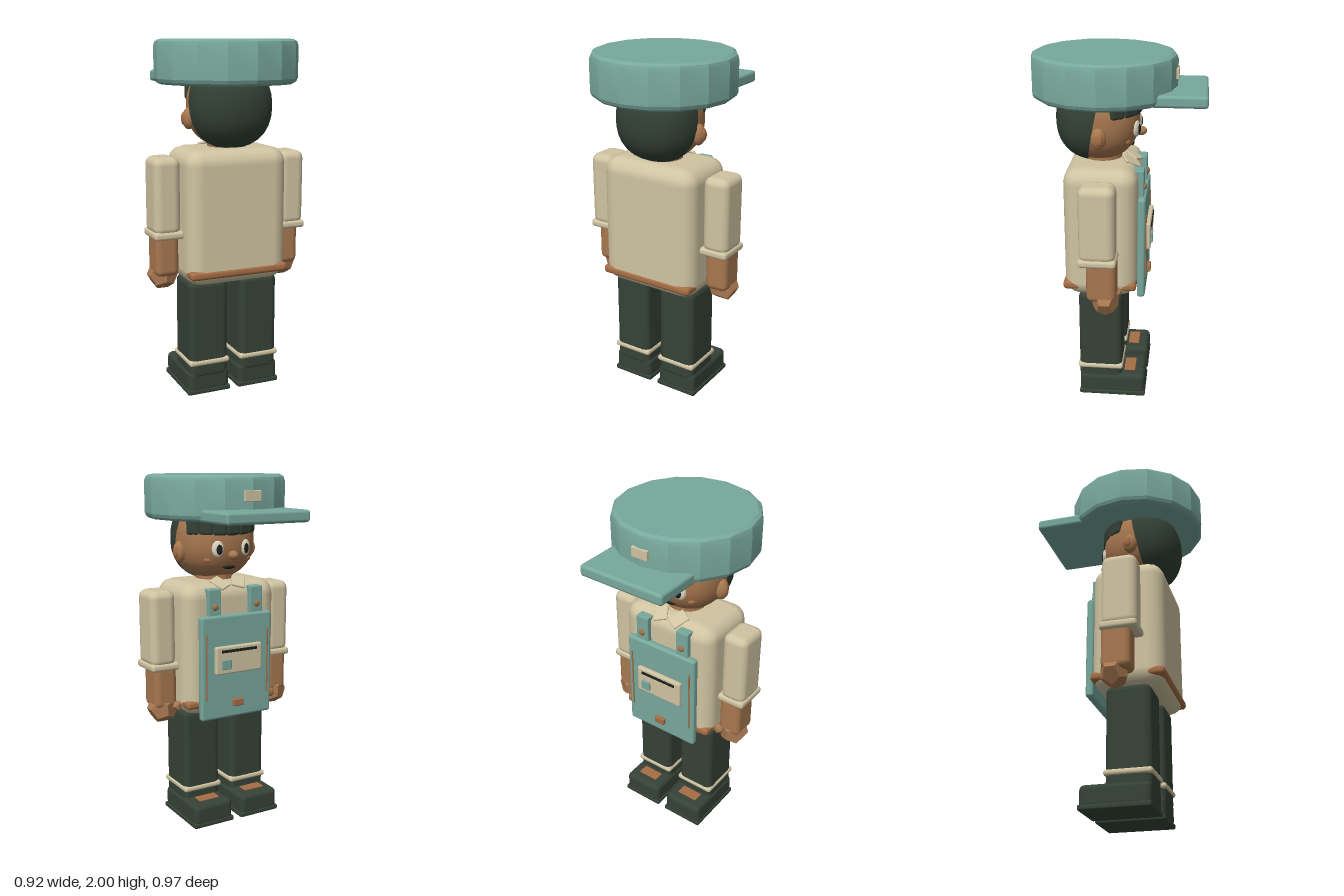
import * as THREE from 'three';
import { toCreasedNormals } from 'three/addons/utils/BufferGeometryUtils.js';
import { RoundedBoxGeometry } from 'three/addons/geometries/RoundedBoxGeometry.js';

const material = (name, color) => {
  const m = new THREE.MeshStandardMaterial({ color });
  m.name = name;
  return m;
};

export function createModel() {
  const teal = material('teal cloth', 0x78a89d);
  const beige = material('beige cloth', 0xd0c4a2);
  const green = material('dark green cloth', 0x364237);
  const hairMat = material('dark hair', 0x334035);
  const skin = material('skin', 0xa87850);
  const brown = material('brown leather', 0xa66e45);
  const black = material('near black', 0x1a201b);
  const white = material('eye white', 0xddd6c0);

  const model = new THREE.Group();
  model.name = 'figure';
  // The figure is built facing +z and then turned around.
  const body = new THREE.Group();
  body.name = 'body';
  body.rotation.y = Math.PI;
  model.add(body);

  const add = (name, geo, mat, x, y, z) => {
    const mesh = new THREE.Mesh(geo, mat);
    mesh.name = name;
    mesh.position.set(x, y, z);
    body.add(mesh);
    return mesh;
  };
  const box = (name, mat, w, h, d, r, x, y, z) =>
    add(name, new RoundedBoxGeometry(w, h, d, 2, r), mat, x, y, z);
  const ball = (name, mat, rx, ry, rz, x, y, z) => {
    const mesh = add(name, new THREE.SphereGeometry(1, 16, 12), mat, x, y, z);
    mesh.scale.set(rx, ry, rz);
    return mesh;
  };

  // Torso, belt, neck and collar
  box('torso', beige, 0.6, 0.76, 0.41, 0.09, 0, 1.035, -0.082);
  box('belt', brown, 0.586, 0.05, 0.415, 0.02, 0, 0.727, -0.085);
  add('neck', new THREE.CylinderGeometry(0.11, 0.11, 0.08, 16), skin, 0, 1.42, -0.09);
  for (const s of [-1, 1]) {
    const flap = box('collarFlap', beige, 0.08, 0.015, 0.1, 0.006, s * 0.06, 1.405, 0.075);
    flap.rotation.set(0.5, s * -0.5, 0);
  }

  // Legs, shoes and arms
  for (const s of [-1, 1]) {
    box('leg', green, 0.23, 0.58, 0.25, 0.035, s * 0.155, 0.38, -0.085);
    box('trouserCuff', beige, 0.245, 0.034, 0.264, 0.015, s * 0.155, 0.19, -0.085);
    box('shoe', green, 0.25, 0.13, 0.385, 0.03, s * 0.155, 0.072, -0.015);
    box('sole', green, 0.262, 0.03, 0.39, 0.01, s * 0.155, 0.015, -0.015);
    box('shoePatch', brown, 0.13, 0.009, 0.065, 0.003, s * 0.155, 0.139, 0.085);

    box('sleeve', beige, 0.154, 0.435, 0.2, 0.045, s * 0.38, 1.157, -0.08);
    box('sleeveCuff', beige, 0.174, 0.045, 0.21, 0.018, s * 0.375, 0.943, -0.08);
    box('forearm', skin, 0.136, 0.26, 0.165, 0.035, s * 0.373, 0.83, -0.06);
    const hand = add('hand', new THREE.DodecahedronGeometry(0.09), skin, s * 0.375, 0.697, -0.04);
    hand.scale.z = 0.88;
    add('thumb', new THREE.IcosahedronGeometry(0.032), skin, s * 0.31, 0.71, 0.015);
  }

  // Head and hair: slightly squared spheres
  const P = 2.3;
  const squarish = (geo, r) => {
    const p = geo.attributes.position;
    const v = new THREE.Vector3();
    for (let i = 0; i < p.count; i++) {
      v.fromBufferAttribute(p, i);
      const n = Math.abs(v.x) ** P + Math.abs(v.y) ** P + Math.abs(v.z) ** P;
      v.multiplyScalar(r / n ** (1 / P));
      p.setXYZ(i, v.x, v.y, v.z);
    }
    geo.computeVertexNormals();
    return geo;
  };
  const headY = 1.64, headZ = -0.11, headR = 0.228;
  add('head', squarish(new THREE.SphereGeometry(1, 32, 24), headR), skin, 0, headY, headZ);
  const hairGeo = new THREE.SphereGeometry(1, 32, 14, 0, Math.PI * 2, 0, 1.54);
  hairGeo.rotateX(-Math.PI / 2 + 0.19);
  const hairSide = hairMat.clone();
  hairSide.name = hairMat.name;
  hairMat.side = THREE.DoubleSide;
  add('hair', squarish(hairGeo, 0.236), hairMat, 0, headY, headZ);

  // Fringe locks curve around the forehead
  for (let i = -3; i <= 3; i++) {
    const a = i * 0.34;
    const lock = box('fringeLock', hairSide, 0.085, 0.1, 0.05, 0.02,
      Math.sin(a) * 0.215, 1.72, headZ + Math.cos(a) * 0.215);
    lock.rotation.y = a;
  }

  // Face features sit on the head surface
  const faceZ = (x, y) =>
    headZ + (headR ** P - Math.abs(x) ** P - Math.abs(y - headY) ** P) ** (1 / P);
  for (const s of [-1, 1]) {
    const ez = faceZ(0.09, 1.6);
    const eye = ball('eye', white, 0.034, 0.046, 0.016, s * 0.09, 1.6, ez);
    eye.rotation.y = s * 0.35;
    const pupil = ball('pupil', black, 0.018, 0.028, 0.008, s * 0.087, 1.597, ez + 0.014);
    pupil.rotation.y = s * 0.35;
    const cheek = ball('cheek', brown, 0.02, 0.014, 0.008, s * 0.135, 1.535, faceZ(0.135, 1.535));
    cheek.rotation.y = s * 0.6;
    ball('ear', skin, 0.036, 0.06, 0.042, s * 0.226, 1.575, -0.09);
    ball('innerEar', brown, 0.012, 0.034, 0.022, s * 0.255, 1.575, -0.083);
  }
  ball('nose', skin, 0.028, 0.026, 0.034, 0, 1.563, faceZ(0, 1.563) + 0.012);
  ball('mouth', black, 0.04, 0.011, 0.01, 0, 1.492, faceZ(0, 1.492));

  // Cap: sixteen-sided crown with a flat visor and badge
  const crown = [[0, 1.76], [0.375, 1.76], [0.392, 1.772], [0.4, 1.79], [0.4, 1.965],
    [0.392, 1.988], [0.372, 2], [0, 2]].map(([x, y]) => new THREE.Vector2(x, y));
  add('capCrown', toCreasedNormals(new THREE.LatheGeometry(crown, 16), 0.35), teal, 0, 0, -0.08);
  box('capVisor', teal, 0.516, 0.066, 0.385, 0.018, 0, 1.79, 0.293);
  box('capBadge', beige, 0.1, 0.058, 0.022, 0.004, 0, 1.893, 0.315);

  // Apron with straps, buttons, pocket and stitching
  box('apron', teal, 0.46, 0.6, 0.045, 0.016, 0, 0.938, 0.145);
  for (const s of [-1, 1]) {
    box('apronStrap', teal, 0.08, 0.2, 0.034, 0.006, s * 0.135, 1.285, 0.136);
    box('strapTop', teal, 0.08, 0.024, 0.09, 0.006, s * 0.135, 1.373, 0.106);
    ball('strapButton', brown, 0.018, 0.018, 0.012, s * 0.135, 1.285, 0.156);
    box('apronStitch', brown, 0.008, 0.38, 0.008, 0.002, s * 0.2, 0.95, 0.169);
  }
  box('pocket', beige, 0.3, 0.16, 0.03, 0.01, 0, 0.985, 0.177);
  box('pocketSlit', black, 0.23, 0.016, 0.008, 0.003, 0, 1.038, 0.194);
  box('pocketPatch', teal, 0.058, 0.056, 0.014, 0.004, -0.085, 0.962, 0.196);
  box('apronTag', brown, 0.065, 0.042, 0.026, 0.006, 0, 0.728, 0.176);

  return model;
}
